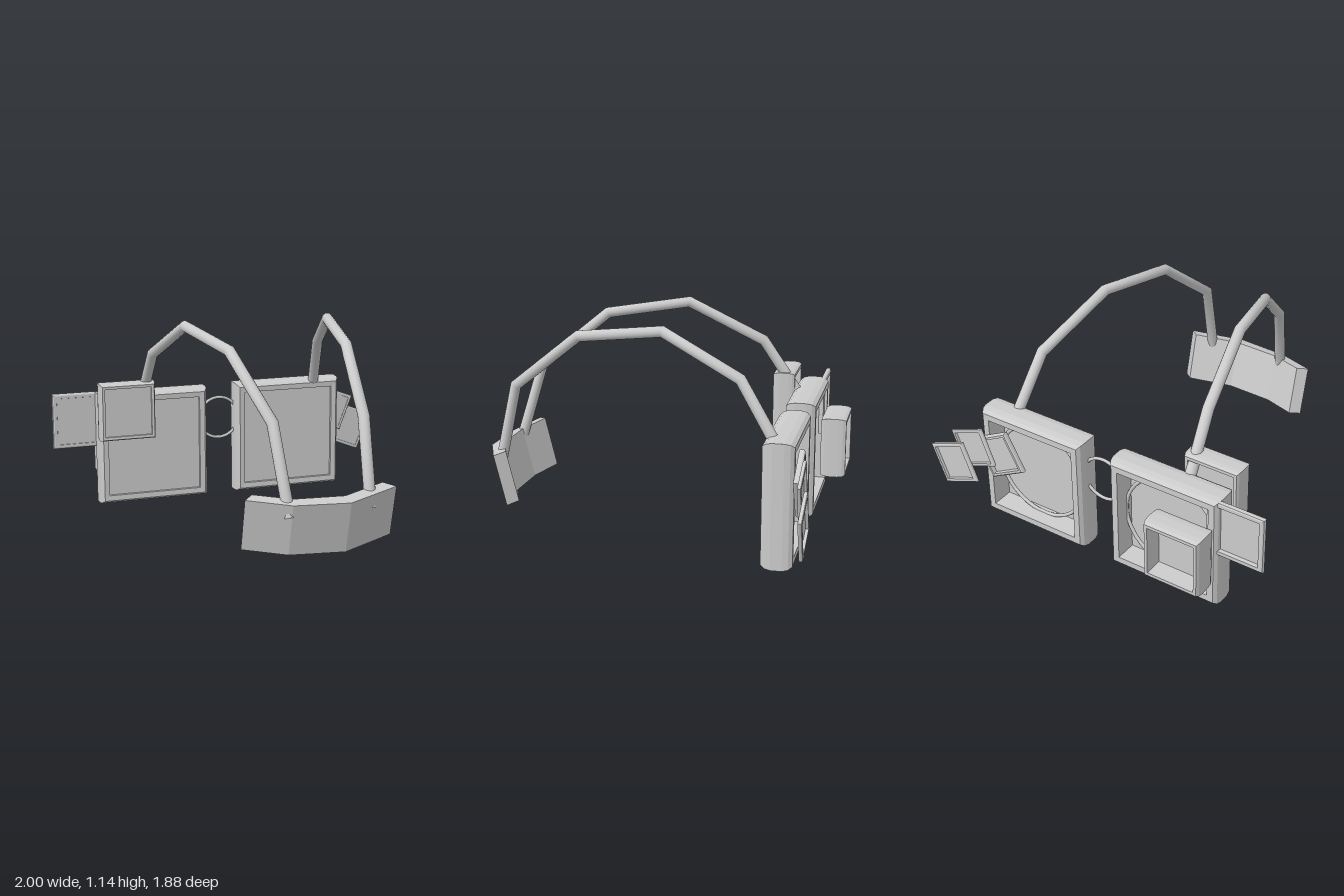
import * as THREE from 'three';

const smooth = new THREE.MeshStandardMaterial({ color: 0xcccccc, side: THREE.DoubleSide });
const flat = new THREE.MeshStandardMaterial({ color: 0xcccccc, side: THREE.DoubleSide, flatShading: true });

// Section of a square tray (half width, depth): open at the back, panel near the front
const TRAY = [
  [0, 0.035], [0.262, 0.035], [0.266, -0.08], [0.3, -0.08], [0.314, -0.06], [0.32, -0.03],
  [0.32, 0.03], [0.314, 0.06], [0.3, 0.08], [0.27, 0.078], [0.268, 0.066], [0, 0.066],
].map(([r, z]) => new THREE.Vector2(r * Math.SQRT2, z));

function add(parent, name, geometry, material = flat) {
  const mesh = new THREE.Mesh(geometry, material);
  mesh.name = name;
  parent.add(mesh);
  return mesh;
}

// Four-sided lathe gives the mitred square frame
function tray(parent, name, [x, y, z], [w, h, d], tilt = 0) {
  const geo = new THREE.LatheGeometry(TRAY, 4);
  geo.rotateY(Math.PI / 4);
  geo.rotateX(Math.PI / 2);
  geo.scale(w / 0.64, h / 0.64, d / 0.16);
  const mesh = add(parent, name, geo);
  mesh.position.set(x, y, z);
  mesh.rotation.z = tilt;
}

function hoop(parent, name, [x, y, z], radius, tube) {
  add(parent, name, new THREE.TorusGeometry(radius, tube, 8, 48), smooth).position.set(x, y, z);
}

// Straight runs with mitred bends
class Polyline extends THREE.Curve {
  constructor(points) {
    super();
    this.points = points.map((p) => new THREE.Vector3(...p));
  }
  getPoint(t, target = new THREE.Vector3()) {
    const s = t * (this.points.length - 1);
    const i = Math.min(Math.floor(s), this.points.length - 2);
    return target.lerpVectors(this.points[i], this.points[i + 1], s - i);
  }
  getPointAt(u, target) { return this.getPoint(u, target); }
  getTangentAt(u, target) { return this.getTangent(u, target); }
}

function strap(parent, name, points, radius = 0.03) {
  const group = new THREE.Group();
  group.name = name;
  const path = new Polyline(points);
  add(group, name + 'Tube', new THREE.TubeGeometry(path, points.length - 1, radius, 16), smooth);
  for (const t of [0, 1]) {
    const cap = add(group, name + 'Cap', new THREE.CircleGeometry(radius, 16));
    cap.position.copy(path.getPoint(t));
    cap.lookAt(cap.position.clone().addScaledVector(path.getTangent(t), t ? 1 : -1));
  }
  parent.add(group);
}

// Bent pad: four-cornered sections joined from side to side
function padGeometry() {
  const outer = [[-0.365, 0.82], [-0.15, 0.91], [0.14, 0.935], [0.425, 0.825]];
  const inner = [[-0.315, 0.775], [-0.13, 0.85], [0.135, 0.865], [0.37, 0.775]];
  const top = ([x, z]) => [x, 0.39 + (0.935 - z) * 0.25, z];
  const low = ([x, z]) => [x, 0.12 + (0.935 - z) * 0.25, z - 0.067];
  const pos = [], index = [];
  outer.forEach((o, i) => pos.push(...top(o), ...low(o), ...low(inner[i]), ...top(inner[i])));
  for (let i = 0; i < 3; i++) {
    for (let j = 0; j < 4; j++) {
      const a = i * 4 + j, b = i * 4 + (j + 1) % 4;
      index.push(a, b, b + 4, a, b + 4, a + 4);
    }
  }
  index.push(0, 3, 2, 0, 2, 1, 12, 13, 14, 12, 14, 15);
  const geo = new THREE.BufferGeometry();
  geo.setAttribute('position', new THREE.Float32BufferAttribute(pos, 3));
  geo.setIndex(index);
  geo.computeVertexNormals();
  return geo;
}

export function createModel() {
  const model = new THREE.Group();
  model.name = 'headset';

  // Main square frames with a round hoop inside, joined by a ring
  tray(model, 'rightFrame', [-0.435, 0.332, -0.72], [0.64, 0.645, 0.16]);
  tray(model, 'leftFrame', [0.38, 0.337, -0.72], [0.64, 0.65, 0.16]);
  hoop(model, 'rightHoop', [-0.435, 0.332, -0.715], 0.27, 0.01);
  hoop(model, 'leftHoop', [0.38, 0.337, -0.715], 0.27, 0.01);
  hoop(model, 'bridgeRing', [-0.028, 0.457, -0.72], 0.12, 0.009);

  // Small boxes and side plate on the right frame
  tray(model, 'frontBox', [-0.612, 0.572, -0.58], [0.315, 0.325, 0.12]);
  tray(model, 'backBox', [-0.575, 0.328, -0.87], [0.32, 0.335, 0.14]);
  tray(model, 'sidePlate', [-0.84, 0.49, -0.77], [0.32, 0.32, 0.03]);

  // Fan of tilted plates on the left frame
  const fan = [
    [0.57, 0.43, -0.815, 0.236, 0.032, 28],
    [0.7225, 0.433, -0.845, 0.22, 0.02, 21],
    [0.845, 0.305, -0.869, 0.236, 0.022, 21.5],
  ];
  for (const [x, y, z, s, d, deg] of fan) {
    tray(model, 'fanPlate', [x, y, z], [s, s, d], -THREE.MathUtils.degToRad(deg));
  }

  // Straps arching over to the pad
  strap(model, 'rightStrap', [
    [-0.155, 0.325, 0.87], [-0.2, 0.77, 0.745], [-0.305, 1.065, 0.39],
    [-0.41, 1.125, -0.05], [-0.485, 0.91, -0.46], [-0.505, 0.61, -0.66],
  ]);
  strap(model, 'leftStrap', [
    [0.283, 0.325, 0.835], [0.277, 0.77, 0.74], [0.325, 1.06, 0.38],
    [0.4, 1.12, -0.08], [0.505, 0.92, -0.5], [0.548, 0.61, -0.69],
  ]);
  add(model, 'pad', padGeometry());

  return model;
}
